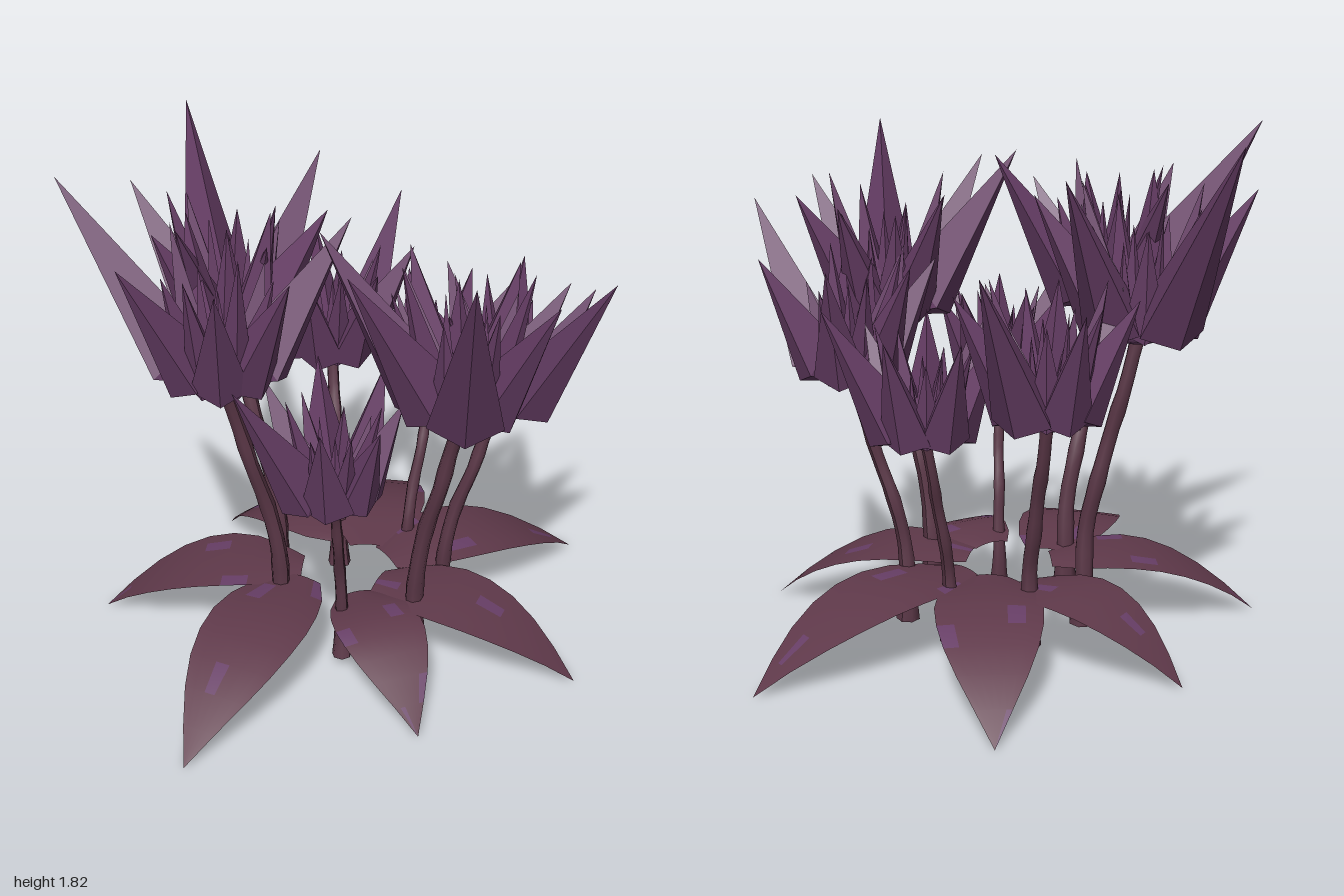
import * as THREE from 'three';
import { ConvexGeometry } from 'three/addons/geometries/ConvexGeometry.js';

const petalPurple = new THREE.MeshStandardMaterial({ color: 0x673e66 });
const stemBrown = new THREE.MeshStandardMaterial({ color: 0x5c3848 });
const leafMauve = new THREE.MeshStandardMaterial({ color: 0x5f394a, side: THREE.DoubleSide });
const leafPurple = new THREE.MeshStandardMaterial({ color: 0x673e66, side: THREE.DoubleSide });

// head: centre of the flower's underside, foot: stem base (x, z),
// petals: [angle in degrees, how far the tip leans out]
const flowers = [
  { name: 'front', head: [-0.03, 1.1, 0.55], foot: [-0.01, 0.36], size: 1,
    petals: [[0, .31], [47, .33], [98, .37], [145, .55], [204, .44], [240, .48], [292, .35]] },
  { name: 'back', head: [-0.05, 1.12, -0.46], foot: [-0.01, -0.28], size: 1,
    petals: [[8, .45], [62, .36], [112, .3], [163, .4], [212, .28], [255, .39], [303, .565]] },
  { name: 'backRight', head: [-0.42, 1.14, -0.17], foot: [-0.22, -0.1], size: 1,
    petals: [[43, .44], [95, .33], [140, .33], [197, .37], [246, .55], [300, .36], [348, .36]] },
  { name: 'backLeft', head: [0.38, 0.9, -0.33], foot: [0.26, -0.2], size: 0.9,
    petals: [[2, .42], [50, .31], [108, .3], [160, .3], [210, .3], [256, .3], [309, .29]] },
  { name: 'left', head: [0.52, 0.82, 0.05], foot: [0.36, 0.06], size: 0.75,
    petals: [[-3, .27], [44, .34], [95, .25], [150, .27], [200, .25], [250, .25], [302, .26]] },
  { name: 'frontLeft', head: [0.36, 0.95, 0.45], foot: [0.26, 0.3], size: 0.87,
    petals: [[53, .31], [100, .47], [142, .29], [185, .31], [232, .3], [285, .31], [340, .31]] },
  { name: 'frontRight', head: [-0.34, 0.8, 0.25], foot: [-0.21, 0.18], size: 0.72,
    petals: [[0, .28], [45, .23], [100, .22], [152, .26], [202, .37], [260, .27], [310, .28]] },
];

// [root x, root z, tip x, tip z]
const leaves = [
  [-.14, -.07, -1, .12], [-.1, .15, -.38, .65], [.02, .17, .22, .92], [.17, .1, .99, .45],
  [.19, .01, .92, -.43], [.2, -.13, .25, -.78], [-.08, -.11, -.5, -.76],
];

function add(parent, name, geometry, material) {
  const mesh = new THREE.Mesh(geometry, material);
  mesh.name = name;
  parent.add(mesh);
  return mesh;
}

// Faceted spike leaning along +x: wide shoulders near the base, one sharp tip
function petal(size, shoulder, width, reach, height) {
  const p = (x, y, z) => new THREE.Vector3(x, y, z);
  return new ConvexGeometry([
    p(.03 * size, 0, 0),
    p(shoulder * .8, .05 * size, width),
    p(shoulder * .8, .05 * size, -width),
    p(shoulder, .005, 0),
    p(.07 * size, .18 * size, 0),
    p(reach, height, 0),
  ]);
}

function makeHead({ size, petals }) {
  const head = new THREE.Group();
  head.name = 'flowerHead';
  const place = (mesh, degrees) => { mesh.rotation.y = -THREE.MathUtils.degToRad(degrees); };
  petals.forEach(([angle, reach], i) => {
    const outer = petal(size, .1 + .27 * reach, .06 + .12 * reach, reach, .12 + 1.03 * reach);
    place(add(head, 'outerPetal', outer, petalPurple), angle);
    // steeper petals fill the gaps
    const lean = .19 * size + (i % 3) * .025;
    const inner = petal(size * .8, .15 * size, .075 * size, lean, size * (.4 + .065 * ((i * 2) % 3)));
    place(add(head, 'innerPetal', inner, petalPurple), angle + 25);
  });
  for (let i = 0; i < 3; i++) {
    const heart = petal(size * .5, .09 * size, .05 * size, .08 * size, size * (.34 + .04 * i));
    place(add(head, 'heartPetal', heart, petalPurple), 20 + i * 120);
  }
  // rounded cup under the petals
  const cup = [[.02, -.015], [.06, -.012], [.085, 0], [.09, .02], [0, .03]]
    .map(([x, y]) => new THREE.Vector2(x * size, y));
  add(head, 'calyx', new THREE.LatheGeometry(cup, 10), petalPurple);
  return head;
}

// Tapered tube that stands upright, then bends out towards its flower
function makeStem({ head: [x, y, z], foot: [fx, fz], size }) {
  const profile = [[0, .04], [0, .2], [.05, .36], [.24, .52], [.54, .7], [.74, .83], [1, 1]];
  const points = profile.map(([out, up], i) => {
    const wobble = i % 2 ? .004 : -.004;
    return new THREE.Vector3(
      THREE.MathUtils.lerp(fx, x, out) + wobble,
      i === 0 ? .04 : up * y,
      THREE.MathUtils.lerp(fz, z, out) - wobble);
  });
  const curve = new THREE.CatmullRomCurve3(points);
  const rings = 16, sides = 7;
  const tube = new THREE.TubeGeometry(curve, rings, 1, sides);
  const pos = tube.attributes.position;
  const v = new THREE.Vector3();
  for (let i = 0; i <= rings; i++) {
    const t = i / rings;
    const centre = curve.getPointAt(t);
    const radius = size * (.034 - .01 * t + .014 * Math.max(0, 1 - t * 5) + (i % 4 === 0 ? .003 : 0));
    for (let j = 0; j <= sides; j++) {
      const k = i * (sides + 1) + j;
      v.fromBufferAttribute(pos, k).sub(centre).multiplyScalar(radius).add(centre);
      pos.setXYZ(k, v.x, v.y, v.z);
    }
  }
  tube.computeVertexNormals();
  const stem = new THREE.Group();
  stem.name = 'stem';
  add(stem, 'stalk', tube, stemBrown);
  const sole = add(stem, 'stalkFoot', new THREE.CylinderGeometry(.045 * size, .048 * size, .02, sides), stemBrown);
  sole.position.set(points[0].x, .05, points[0].z);
  return stem;
}

// Arched blade along +x, with a few purple patches
function makeLeaf(length, seed) {
  const halfWidths = [.08, .14, .172, .185, .178, .155, .115, .061, 0];
  const rows = halfWidths.length - 1, cols = 6, scale = .6 + .48 * length;
  const vertices = [], plain = [], patches = [];
  for (let i = 0; i <= rows; i++) {
    const t = i / rows;
    const drop = Math.max(0, (t - .3) / .7) ** 2;
    for (let j = 0; j <= cols; j++) {
      const across = j / cols * 2 - 1;
      vertices.push(
        length * t,
        .005 + .257 * (1 - drop) - .02 * Math.max(0, 1 - t * 4) - .012 * across * across * (1 - t),
        across * halfWidths[i] * scale);
    }
  }
  // corner order runs so that the faces look up
  for (let i = 0; i < rows; i++) {
    for (let j = 0; j < cols; j++) {
      const a = i * (cols + 1) + j, b = a + cols + 1;
      const list = (i * 5 + j * 3 + seed * 4) % 17 === 0 ? patches : plain;
      list.push(a, a + 1, b, b, a + 1, b + 1);
    }
  }
  const geometry = new THREE.BufferGeometry();
  geometry.setAttribute('position', new THREE.Float32BufferAttribute(vertices, 3));
  geometry.setIndex([...plain, ...patches]);
  geometry.addGroup(0, plain.length, 0);
  geometry.addGroup(plain.length, patches.length, 1);
  geometry.computeVertexNormals();
  return geometry;
}

export function createModel() {
  const plant = new THREE.Group();
  plant.name = 'floweringPlant';
  for (const data of flowers) {
    const flower = new THREE.Group();
    flower.name = data.name + 'Flower';
    const head = makeHead(data);
    head.position.set(...data.head);
    flower.add(makeStem(data), head);
    plant.add(flower);
  }
  leaves.forEach(([rx, rz, tx, tz], i) => {
    const leaf = add(plant, 'leaf', makeLeaf(Math.hypot(tx - rx, tz - rz), i), [leafMauve, leafPurple]);
    leaf.position.set(rx, 0, rz);
    leaf.rotation.y = -Math.atan2(tz - rz, tx - rx);
  });
  return plant;
}
